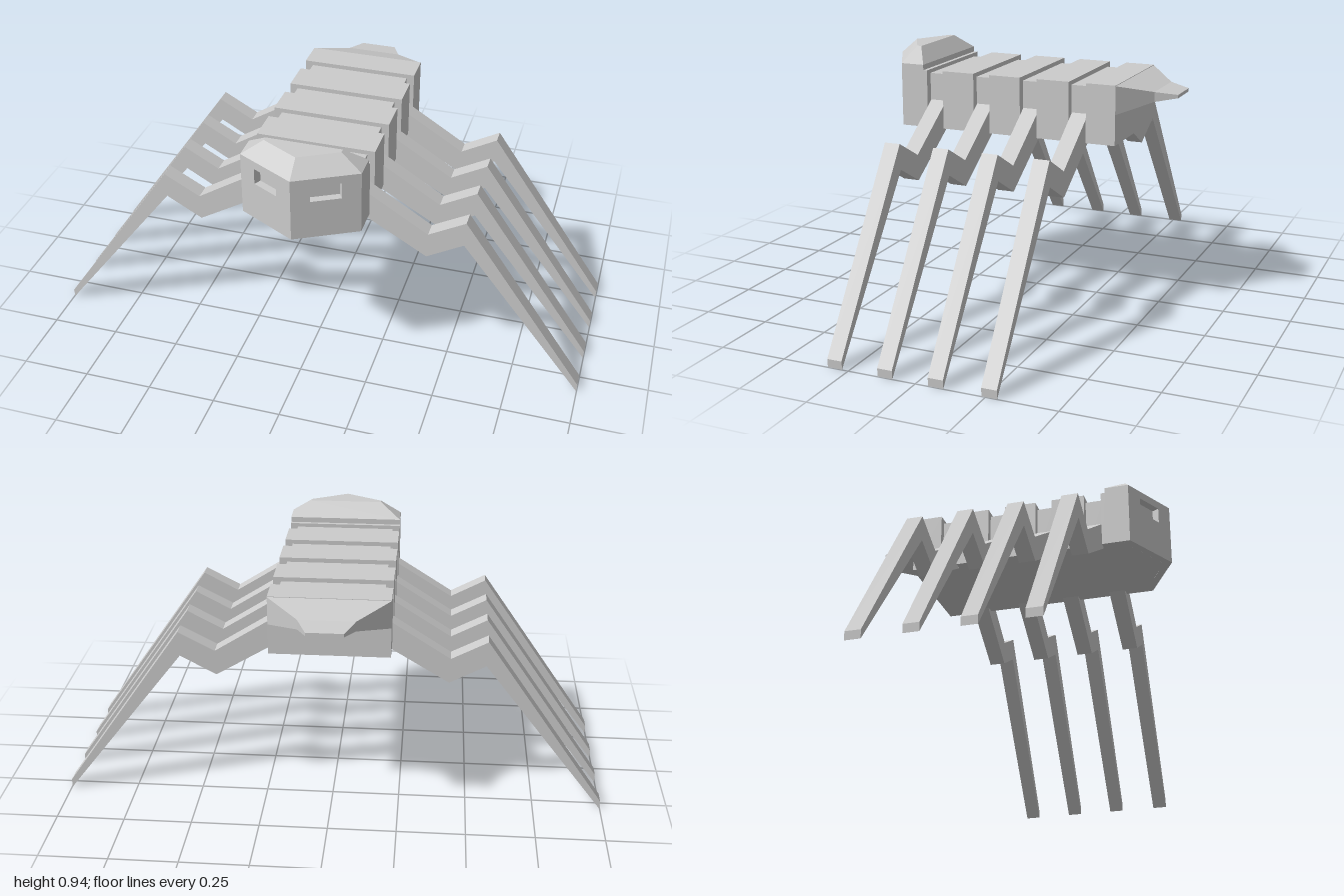
import * as THREE from 'three';
import { ConvexGeometry } from 'three/addons/geometries/ConvexGeometry.js';

const material = new THREE.MeshStandardMaterial({ color: 0xcccccc, flatShading: true });
const BOTTOM = 0.645, HALF = 0.215;

function add(parent, name, geometry) {
  const mesh = new THREE.Mesh(geometry, material);
  mesh.name = name;
  parent.add(mesh);
  return mesh;
}

function shapeOf(points) {
  return new THREE.Shape(points.map(([x, y]) => new THREE.Vector2(x, y)));
}

// Box given by half width, bottom, top and a z range
function block(parent, name, half, y0, y1, z0, z1) {
  const mesh = add(parent, name, new THREE.BoxGeometry(2 * half, y1 - y0, z1 - z0));
  mesh.position.set(0, (y0 + y1) / 2, (z0 + z1) / 2);
}

const mirrorPair = (x, y, z) => [new THREE.Vector3(x, y, z), new THREE.Vector3(-x, y, z)];

// Wedge-fronted head: core, two front plates with sunken eyes, faceted roof
function buildHead() {
  const head = new THREE.Group();
  head.name = 'head';
  const top = 0.88, height = top - BOTTOM, depth = 0.028;

  // Core outline seen from above, as (x, -z) so that it can be stood upright
  const right = [[HALF, -0.365], [HALF, -0.455], [0.202, -0.43]];
  const left = right.map(([x, z]) => [-x, z]).reverse();
  const core = new THREE.ExtrudeGeometry(shapeOf([...right, [0, -0.538], ...left]),
    { depth: height, bevelEnabled: false });
  core.rotateX(-Math.PI / 2);
  add(head, 'headCore', core).position.y = BOTTOM;

  // Front plates, pierced by the eye openings
  const length = Math.hypot(HALF, 0.115), angle = Math.atan2(0.115, HALF);
  for (const side of [1, -1]) {
    const u = (v) => side * v;
    const plate = shapeOf([[0, 0], [u(length), 0], [u(length), height], [0, height]]);
    const a = u(0.068), b = u(0.176), low = 0.79 - BOTTOM, high = 0.85 - BOTTOM;
    plate.holes.push(new THREE.Path([[a, low], [a, high], [b, high], [b, low]]
      .map(([x, y]) => new THREE.Vector2(x, y))));
    const geometry = new THREE.ExtrudeGeometry(plate, { depth, bevelEnabled: false });
    geometry.translate(0, 0, -depth);
    geometry.rotateY(side * angle);
    add(head, side > 0 ? 'leftEyePlate' : 'rightEyePlate', geometry).position.set(0, BOTTOM, 0.57);
  }

  add(head, 'headRoof', new ConvexGeometry([
    ...mirrorPair(HALF, top, 0.365), ...mirrorPair(HALF, top, 0.455), new THREE.Vector3(0, top, 0.57),
    ...mirrorPair(0.153, 0.916, 0.442), ...mirrorPair(0.153, 0.916, 0.397),
    ...mirrorPair(0.137, 0.935, 0.43), ...mirrorPair(0.137, 0.935, 0.413),
    new THREE.Vector3(0, 0.935, 0.505),
  ]));
  return head;
}

// Tapering tail lofted through rectangles: [z, half width, bottom, top]
function buildTail() {
  const tail = new THREE.Group();
  tail.name = 'tail';
  const sections = [[-0.39, HALF, 0.757, 0.86], [-0.495, 0.1, 0.79, 0.826], [-0.572, 0.065, 0.803, 0.815]];
  const ring = ([z, half, y0, y1]) => [...mirrorPair(half, y0, z), ...mirrorPair(half, y1, z)];
  add(tail, 'tailBase', new ConvexGeometry([...ring(sections[0]), ...ring(sections[1])]));
  add(tail, 'tailTip', new ConvexGeometry([...ring(sections[1]), ...ring(sections[2])]));
  return tail;
}

// Bent leg, slightly thinner and shifted back towards its foot
function buildLeg(side, z, drift) {
  const outline = [[0.18, 0.75], [0.425, 0.595], [0.557, 0.666], [1, 0.03], [0.998, 0],
    [0.553, 0.572], [0.422, 0.5], [0.18, 0.645]];
  const width = 0.062;
  const geometry = new THREE.ExtrudeGeometry(shapeOf(outline.map(([x, y]) => [side * x, y])),
    { depth: width, bevelEnabled: false });
  geometry.translate(0, 0, -width / 2);
  const p = geometry.attributes.position;
  for (let i = 0; i < p.count; i++) {
    const t = (Math.abs(p.getX(i)) - 0.18) / 0.82;
    p.setZ(i, z + p.getZ(i) * (1 - 0.12 * t) + drift * t);
  }
  geometry.computeVertexNormals();
  return geometry;
}

export function createModel() {
  const model = new THREE.Group();
  model.name = 'walker';

  // Wide body plates
  const body = new THREE.Group();
  body.name = 'body';
  model.add(body);
  block(body, 'neckPlate', HALF, BOTTOM, 0.86, 0.35, 0.366);
  [[0.16, 0.285], [-0.025, 0.096], [-0.214, -0.09], [-0.39, -0.28]].forEach(([z0, z1], i) =>
    block(body, `bodyPlate${i + 1}`, HALF, BOTTOM, 0.862, z0, z1));

  // Narrow joints between the plates, each carrying a pair of legs
  const gaps = [[0.285, 0.35], [0.096, 0.16], [-0.09, -0.025], [-0.28, -0.214]];
  gaps.forEach(([z0, z1], i) => {
    block(body, `bodyJoint${i + 1}`, 0.187, BOTTOM, 0.846, z0, z1);
    const z = (z0 + z1) / 2;
    add(model, `leftLeg${i + 1}`, buildLeg(1, z, -0.016));
    add(model, `rightLeg${i + 1}`, buildLeg(-1, z, i === 0 ? -0.002 : -0.013));
  });

  model.add(buildHead(), buildTail());
  return model;
}
